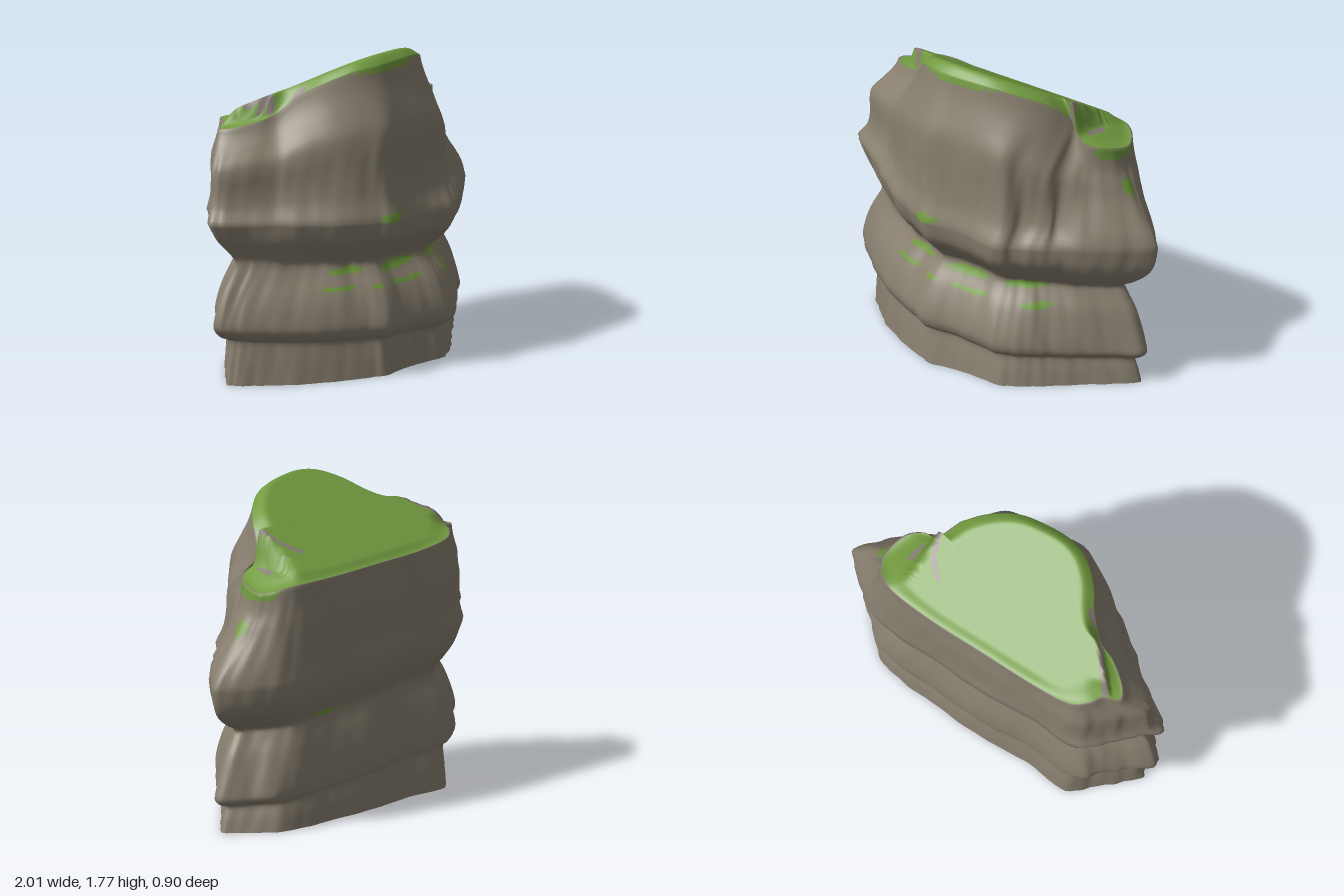
import * as THREE from 'three';

const { lerp, smoothstep, clamp } = THREE.MathUtils;

// Plan outline at the widest height (x, z) and the matching point on the top rim (x, y, z)
const OUTLINE = [
  [1.0, -0.14, 0.74, 1.34, -0.2], [0.88, -0.01, 0.7, 1.37, -0.08], [0.74, 0.12, 0.62, 1.39, -0.02],
  [0.61, 0.22, 0.54, 1.45, -0.03], [0.51, 0.3, 0.5, 1.52, 0], [0.42, 0.37, 0.44, 1.61, 0.08],
  [0.33, 0.43, 0.33, 1.67, 0.18], [0.18, 0.42, 0.18, 1.71, 0.26], [0, 0.42, 0, 1.72, 0.29],
  [-0.15, 0.45, -0.14, 1.72, 0.29], [-0.26, 0.4, -0.26, 1.71, 0.25], [-0.42, 0.33, -0.37, 1.66, 0.16],
  [-0.57, 0.23, -0.45, 1.59, 0.05], [-0.72, 0.13, -0.55, 1.49, -0.04], [-0.86, 0.02, -0.66, 1.45, -0.08],
  [-0.96, -0.06, -0.78, 1.42, -0.17], [-1.0, -0.13, -0.81, 1.41, -0.24], [-0.88, -0.24, -0.73, 1.42, -0.28],
  [-0.77, -0.35, -0.68, 1.42, -0.35], [-0.65, -0.45, -0.58, 1.4, -0.41], [-0.35, -0.43, -0.35, 1.38, -0.42],
  [-0.02, -0.45, -0.02, 1.38, -0.42], [0.3, -0.43, 0.3, 1.38, -0.42], [0.58, -0.42, 0.55, 1.38, -0.4],
  [0.76, -0.37, 0.66, 1.37, -0.36], [0.9, -0.25, 0.73, 1.34, -0.28],
];

// Lower ledges: height, then scale toward -x, +x, +z, -z
const LEVELS = [
  [0, 0.87, 0.9, 0.87, 0.91], [0.1, 0.86, 0.88, 0.84, 0.89], [0.19, 0.85, 0.86, 0.81, 0.86],
  [0.21, 0.89, 0.91, 0.88, 0.88], [0.24, 0.93, 0.94, 0.93, 0.89], [0.29, 0.96, 0.93, 0.95, 0.89],
  [0.38, 0.94, 0.9, 0.9, 0.87], [0.48, 0.9, 0.86, 0.8, 0.83], [0.56, 0.85, 0.81, 0.68, 0.79],
  [0.61, 0.82, 0.79, 0.64, 0.78], [0.65, 0.82, 0.86, 0.7, 0.82], [0.71, 0.87, 0.94, 0.84, 0.9],
  [0.78, 0.94, 0.98, 0.95, 0.96], [0.88, 1, 1, 1, 1],
];

// How far the upper block has drawn in to the rim, at even steps of height
const FRONT_TAPER = [0, 0.2, 0.28, 0.3, 0.3, 0.36, 0.6, 0.85, 1].map(v => [v]);
const SIDE_TAPER = [0, 0.1, 0.27, 0.46, 0.64, 0.78, 0.92, 0.98, 1].map(v => [v]);

// Moss strips on the front: centre x, y and radii x, y
const FRONT_MOSS = [
  [-0.3, 0.595, 0.11, 0.02], [0.04, 0.575, 0.14, 0.025], [0.38, 0.57, 0.1, 0.022],
  [-0.37, 0.515, 0.1, 0.012], [-0.16, 0.5, 0.04, 0.014], [0.08, 0.49, 0.13, 0.013],
  [0.47, 0.47, 0.07, 0.016], [-0.14, 0.905, 0.07, 0.03], [0.05, 1.73, 0.4, 0.04],
];
// Other moss patches: centre x, y, z and radii x, y, z
const SIDE_MOSS = [
  [0.72, 1.35, -0.18, 0.12, 0.06, 0.17], [0.82, 1.14, -0.16, 0.12, 0.05, 0.04],
  [0.3, 0.6, -0.35, 0.1, 0.015, 0.1],
];

// Bare streaks on the sloping top: from x, z to x, z
const STREAKS = [
  [-0.72, -0.26, -0.56, -0.07], [-0.47, 0.01, -0.43, 0.04],
  [0.39, -0.24, 0.47, -0.15], [0.47, -0.15, 0.51, -0.03], [0.59, -0.19, 0.58, -0.1],
].map(([a, b, c, d]) => new THREE.Line3(new THREE.Vector3(a, 0, b), new THREE.Vector3(c, 0, d)));

const SUB = 6; // samples between outline points
const N = OUTLINE.length * SUB;

// Smooth spline through rows of numbers
function spline(rows, t, closed) {
  const n = rows.length;
  const i = Math.min(Math.floor(t), closed ? n - 1 : n - 2);
  const f = t - i;
  const at = k => rows[closed ? (k + n) % n : clamp(k, 0, n - 1)];
  const [a, b, c, d] = [at(i - 1), at(i), at(i + 1), at(i + 2)];
  return b.map((v, k) => {
    const m0 = (c[k] - a[k]) / 2, m1 = (d[k] - v) / 2;
    const f2 = f * f, f3 = f2 * f;
    return v * (2 * f3 - 3 * f2 + 1) + m0 * (f3 - 2 * f2 + f) + c[k] * (3 * f2 - 2 * f3) + m1 * (f3 - f2);
  });
}

const bump = (v, centre, width) => Math.exp(-(((v - centre) / width) ** 2));

// Folds, fuller lower corners and weathering, as a relative change of radius
function weather(u, y) {
  const upper = smoothstep(y, 0.75, 0.95) * (1 - smoothstep(y, 1.25, 1.5));
  const lower = 1 - smoothstep(y, 0.42, 0.66);
  const rough = 1 - smoothstep(y, 1.2, 1.4);
  let d = -0.06 * upper * bump(u, 4.8 + (y - 0.9) * 1.2, 0.5);
  d -= 0.05 * upper * bump(u, 3.1, 0.45);
  d -= 0.05 * upper * bump(u, 13.2, 0.7);
  d -= 0.03 * bump(u, 10.5, 0.25) * bump(y, 0.65, 0.25);
  d += lower * (0.05 * bump(u, 4.2, 1.3) + 0.06 * bump(u, 12.5, 1.8));
  const w = (u * Math.PI * 2) / OUTLINE.length;
  d += rough * (0.006 * Math.sin(11 * w + 5 * y) + 0.005 * Math.sin(23 * w - 7 * y + 1) +
    0.003 * Math.sin(41 * w + 9 * y + 2));
  return d;
}

// Sloping top with a lower shoulder at each side
function topHeight(x, z) {
  const right = lerp(1.85, 1.43 - 0.45 * (x - 0.55), smoothstep(x, 0.46, 0.56));
  const leftMask = smoothstep(z - x, 0.44, 0.51) * smoothstep(-x, 0.42, 0.5);
  const left = lerp(1.85, 1.5 + 0.32 * (x + 0.55), leftMask);
  return Math.min(1.635 + 0.585 * z, right, left);
}

// All rings from the base, up the sides and inward over the sloping top
function buildRings() {
  const loop = Array.from({ length: N }, (_, i) => spline(OUTLINE, i / SUB, true));
  const rings = [];
  const tilt = (x, y) => -0.055 * x * Math.min(1, y / 0.2);
  const addRing = fn => rings.push(loop.map((p, i) => fn(p, i / SUB)));
  const shaped = (x, y, z, u) => {
    const k = 1 + weather(u, y);
    return [x * k, y, z * k];
  };

  // Base and ledges
  const steps = (LEVELS.length - 1) * 4;
  for (let s = 0; s <= steps; s++) {
    const [y, l, r, f, b] = spline(LEVELS, s / 4, false);
    addRing(([x, z], u) => shaped(x * (x < 0 ? l : r), y + tilt(x, y), z * (z > 0 ? f : b), u));
  }
  // Upper block, narrowing to the rim
  const upperRows = 24;
  for (let s = 1; s <= upperRows; s++) {
    const t = s / upperRows;
    const [front] = spline(FRONT_TAPER, t * 8, false);
    const [side] = spline(SIDE_TAPER, t * 8, false);
    addRing(([x, z, rx, ry, rz], u) => {
      const e = lerp(front, side, smoothstep(x, 0.5, 0.8));
      return shaped(lerp(x, rx, e), lerp(0.88 + tilt(x, 1), ry, t), lerp(z, rz, e), u);
    });
  }
  // Sloping top
  const rimRow = rings.length - 1;
  const capRows = 28;
  for (let s = 1; s <= capRows; s++) {
    const t = (s / capRows) ** 1.3;
    addRing(([, , rx, ry, rz]) => {
      const x = lerp(rx, -0.04, t), z = lerp(rz, -0.12, t);
      return [x, lerp(ry, topHeight(x, z), smoothstep(t, -0.03, 0.18)), z];
    });
  }
  return { rings, rimRow };
}

export function createModel() {
  const group = new THREE.Group();
  group.name = 'rockFormation';
  const material = (name, color) => new THREE.MeshStandardMaterial({ name, color, side: THREE.DoubleSide });

  const { rings, rimRow } = buildRings();
  const points = rings.flat();
  const parts = {
    rockBody: { faces: [], material: material('rock', 0x898070) },
    mossCover: { faces: [], material: material('moss', 0x729b40) },
    bareStreaks: { faces: [], material: material('paleRock', 0x8a7c7a) },
  };

  // Choose the covering of a face from its centre and row
  const nearest = new THREE.Vector3();
  const partAt = (tri, row) => {
    const [x, y, z] = [0, 1, 2].map(k => tri.reduce((sum, v) => sum + points[v][k], 0) / 3);
    const flat = new THREE.Vector3(x, 0, z);
    const streak = STREAKS.some(l => l.closestPointToPoint(flat, true, nearest).distanceTo(flat) < 0.014);
    if (row >= rimRow && (streak || (row === rimRow && z < 0.05))) return 'bareStreaks';
    const mossy = row >= rimRow ||
      (z > 0.08 && FRONT_MOSS.some(([px, py, a, b]) => Math.hypot((x - px) / a, (y - py) / b) < 1)) ||
      SIDE_MOSS.some(([px, py, pz, a, b, c]) => Math.hypot((x - px) / a, (y - py) / b, (z - pz) / c) < 1);
    return mossy ? 'mossCover' : 'rockBody';
  };

  for (let j = 0; j < rings.length - 1; j++) {
    for (let i = 0; i < N; i++) {
      const a = j * N + i, b = j * N + ((i + 1) % N), c = a + N, d = b + N;
      for (const tri of [[a, c, b], [b, c, d]]) parts[partAt(tri, j)].faces.push(...tri);
    }
  }

  // One smooth surface shared by the rock, moss and streaks
  const surface = new THREE.BufferGeometry();
  surface.setAttribute('position', new THREE.Float32BufferAttribute(points.flat(), 3));
  surface.setIndex(Object.values(parts).flatMap(p => p.faces));
  surface.computeVertexNormals();

  for (const [name, part] of Object.entries(parts)) {
    const geometry = new THREE.BufferGeometry();
    geometry.setAttribute('position', surface.getAttribute('position'));
    geometry.setAttribute('normal', surface.getAttribute('normal'));
    geometry.setIndex(part.faces);
    const mesh = new THREE.Mesh(geometry, part.material);
    mesh.name = name;
    group.add(mesh);
  }
  return group;
}
